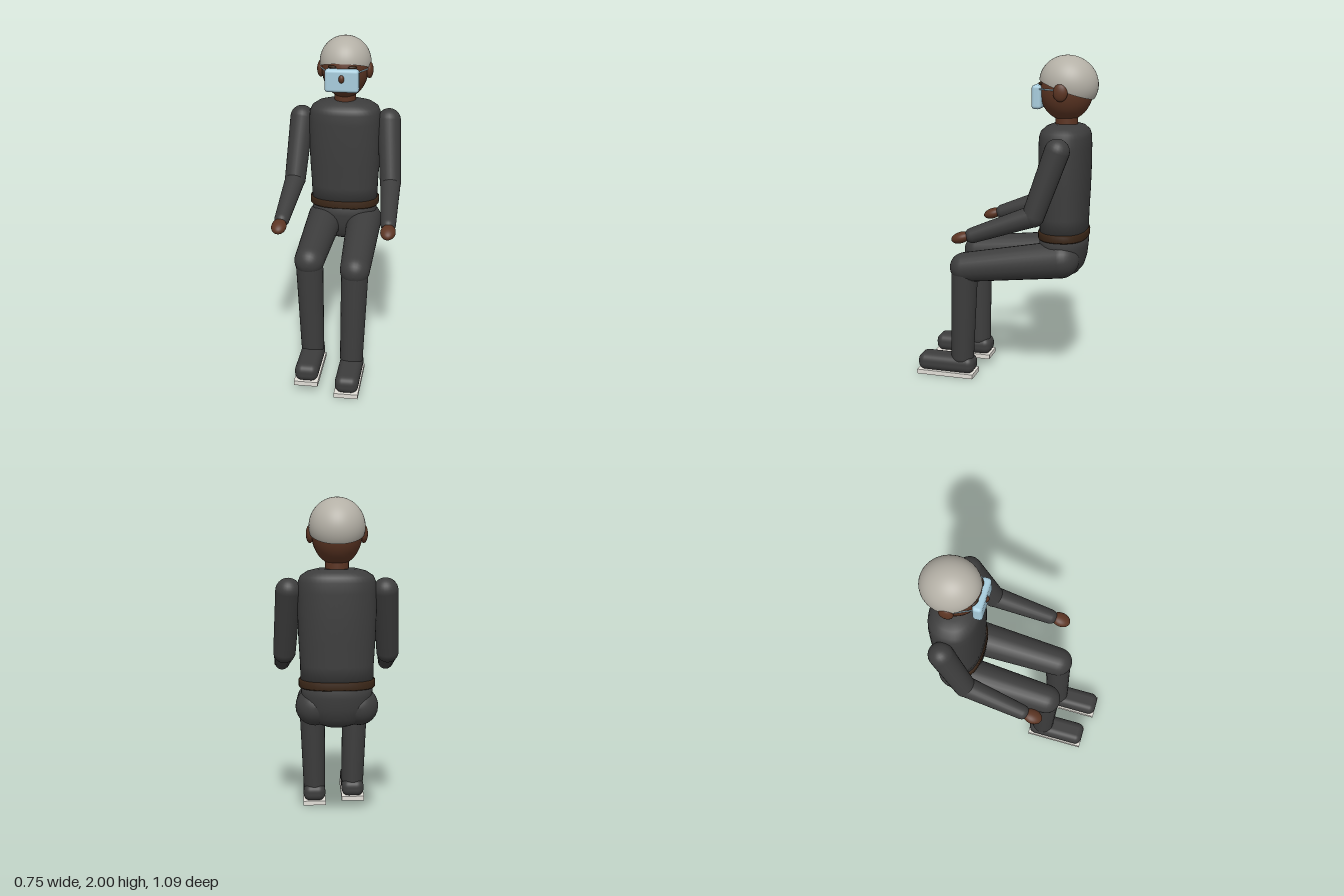
import * as THREE from 'three';
import { mergeVertices } from 'three/addons/utils/BufferGeometryUtils.js';
import { RoundedBoxGeometry } from 'three/addons/geometries/RoundedBoxGeometry.js';

const mat = (name, color, side = THREE.FrontSide) => {
  const m = new THREE.MeshStandardMaterial({ color, side });
  m.name = name;
  return m;
};

export function createModel() {
  const model = new THREE.Group();
  model.name = 'seatedFigure';
  const cloth = mat('charcoalCloth', 0x3d3d3d);
  const skin = mat('brownSkin', 0x5c3523);
  const leather = mat('beltBrown', 0x3a2617);
  const hairGrey = mat('hairGrey', 0xb4b0a6, THREE.DoubleSide);
  const blue = mat('paleBlue', 0xa8cddd);
  const white = mat('soleWhite', 0xe2dfd8);

  const add = (name, geometry, material, pos = [0, 0, 0], parent = model) => {
    const mesh = new THREE.Mesh(geometry, material);
    mesh.name = name;
    mesh.position.set(...pos);
    parent.add(mesh);
    return mesh;
  };
  const ball = (name, material, pos, radii, parent) => {
    const mesh = add(name, new THREE.SphereGeometry(1, 28, 20), material, pos, parent);
    mesh.scale.set(...radii);
    return mesh;
  };

  // Tapered limb with round ends, running from point a to point b
  const limb = (name, material, a, b, ra, rb) => {
    const from = new THREE.Vector3(...a), dir = new THREE.Vector3(...b).sub(from);
    const length = dir.length(), pts = [];
    for (let i = 0; i <= 8; i++) {
      const t = (i / 8 - 1) * Math.PI / 2;
      pts.push(new THREE.Vector2(Math.max(0, ra * Math.cos(t)), ra * Math.sin(t)));
    }
    for (let i = 0; i <= 8; i++) {
      const t = i / 8 * Math.PI / 2;
      pts.push(new THREE.Vector2(Math.max(0, rb * Math.cos(t)), length + rb * Math.sin(t)));
    }
    const mesh = add(name, new THREE.LatheGeometry(pts, 24), material, a);
    mesh.quaternion.setFromUnitVectors(new THREE.Vector3(0, 1, 0), dir.normalize());
    return mesh;
  };

  // Body section: [radius, y] profile swept around a squarish oval
  const bodyForm = (name, material, profile, sx, sz, n) => {
    let g = new THREE.LatheGeometry(profile.map(p => new THREE.Vector2(...p)), 48);
    const p = g.attributes.position;
    for (let i = 0; i < p.count; i++) {
      const x = p.getX(i), z = p.getZ(i), r = Math.hypot(x, z);
      if (r < 1e-6) continue;
      const k = (Math.abs(x / r) ** n + Math.abs(z / r) ** n) ** (-1 / n);
      p.setX(i, x * k * sx);
      p.setZ(i, z * k * sz);
    }
    g.deleteAttribute('uv');
    g.deleteAttribute('normal');
    g = mergeVertices(g);
    g.computeVertexNormals();
    return add(name, g, material, [0, 0, -0.355]);
  };

  // Torso, belt and pelvis
  bodyForm('torso', cloth, [[0, 0.93], [0.93, 0.93], [0.94, 1.05], [0.98, 1.2], [1, 1.33],
    [1, 1.47], [0.98, 1.53], [0.92, 1.56], [0.75, 1.585], [0.5, 1.6], [0, 1.605]], 0.226, 0.15, 2.5);
  bodyForm('belt', leather, [[0, 0.918], [0.97, 0.918], [1, 0.926], [1, 0.958], [0.97, 0.966],
    [0, 0.966]], 0.222, 0.148, 2.5);
  bodyForm('pelvis', cloth, [[0, 0.675], [0.3, 0.68], [0.6, 0.703], [0.8, 0.74], [0.92, 0.8],
    [0.97, 0.87], [0.98, 0.94], [0, 0.94]], 0.212, 0.148, 2.3);

  // Neck and head
  add('neck', new THREE.CylinderGeometry(0.067, 0.067, 0.14, 28), skin, [0, 1.605, -0.36]);
  ball('head', skin, [0, 1.8, -0.355], [0.145, 0.182, 0.16]);
  ball('nose', skin, [0, 1.775, -0.178], [0.02, 0.028, 0.024]);

  // Hair cap tilted up at the forehead
  const hair = add('hair', new THREE.SphereGeometry(1, 40, 28, 0, Math.PI * 2, 0, 1.79),
    hairGrey, [0, 1.838, -0.37]);
  hair.scale.set(0.16, 0.162, 0.176);
  hair.rotation.x = -0.33;

  // Visor with side arms
  add('visor', new RoundedBoxGeometry(0.21, 0.142, 0.058, 4, 0.02), blue, [0, 1.76, -0.196]);

  for (const s of [1, -1]) {
    const side = s > 0 ? 'left' : 'right';

    // Ear, brow and visor arm
    ball(side + 'Ear', skin, [s * 0.152, 1.795, -0.352], [0.023, 0.052, 0.043]);
    const brow = ball(side + 'Brow', leather, [s * 0.062, 1.838, -0.214], [0.028, 0.009, 0.012]);
    brow.rotation.y = s * 0.4;
    limb(side + 'VisorArm', blue, [s * 0.098, 1.808, -0.215], [s * 0.15, 1.808, -0.33], 0.004, 0.004);

    // Arm and hand
    const elbow = [s * 0.304, 1.098, -0.235], wrist = [s * 0.325, 0.965, 0.125];
    limb(side + 'UpperArm', cloth, [s * 0.277, 1.475, -0.365], elbow, 0.074, 0.066);
    limb(side + 'Forearm', cloth, elbow, wrist, 0.064, 0.046);
    const hand = ball(side + 'Hand', skin, [s * 0.33, 0.948, 0.195], [0.046, 0.033, 0.062]);
    hand.rotation.x = 0.32;

    // Leg: the right foot is slightly raised and drawn back
    const lift = s > 0 ? 0 : 0.043, back = s > 0 ? 0 : -0.037;
    const knee = [s * 0.139, 0.71 + lift, 0.238 + back * 0.15];
    limb(side + 'Thigh', cloth, [s * 0.128, 0.8, -0.36], knee, 0.113, 0.091);
    limb(side + 'Shin', cloth, knee, [s * 0.124, 0.125 + lift, 0.262 + back], 0.083, 0.071);

    // Shoe and sole
    const shoe = new THREE.Group();
    shoe.name = side + 'Shoe';
    shoe.position.set(s * 0.124, lift, 0.361 + back);
    model.add(shoe);
    add('shoeUpper', new RoundedBoxGeometry(0.142, 0.108, 0.366, 5, 0.045), cloth, [0, 0.075, 0], shoe);
    add('sole', new THREE.BoxGeometry(0.145, 0.028, 0.366), white, [0, 0.014, 0], shoe);
  }
  return model;
}
